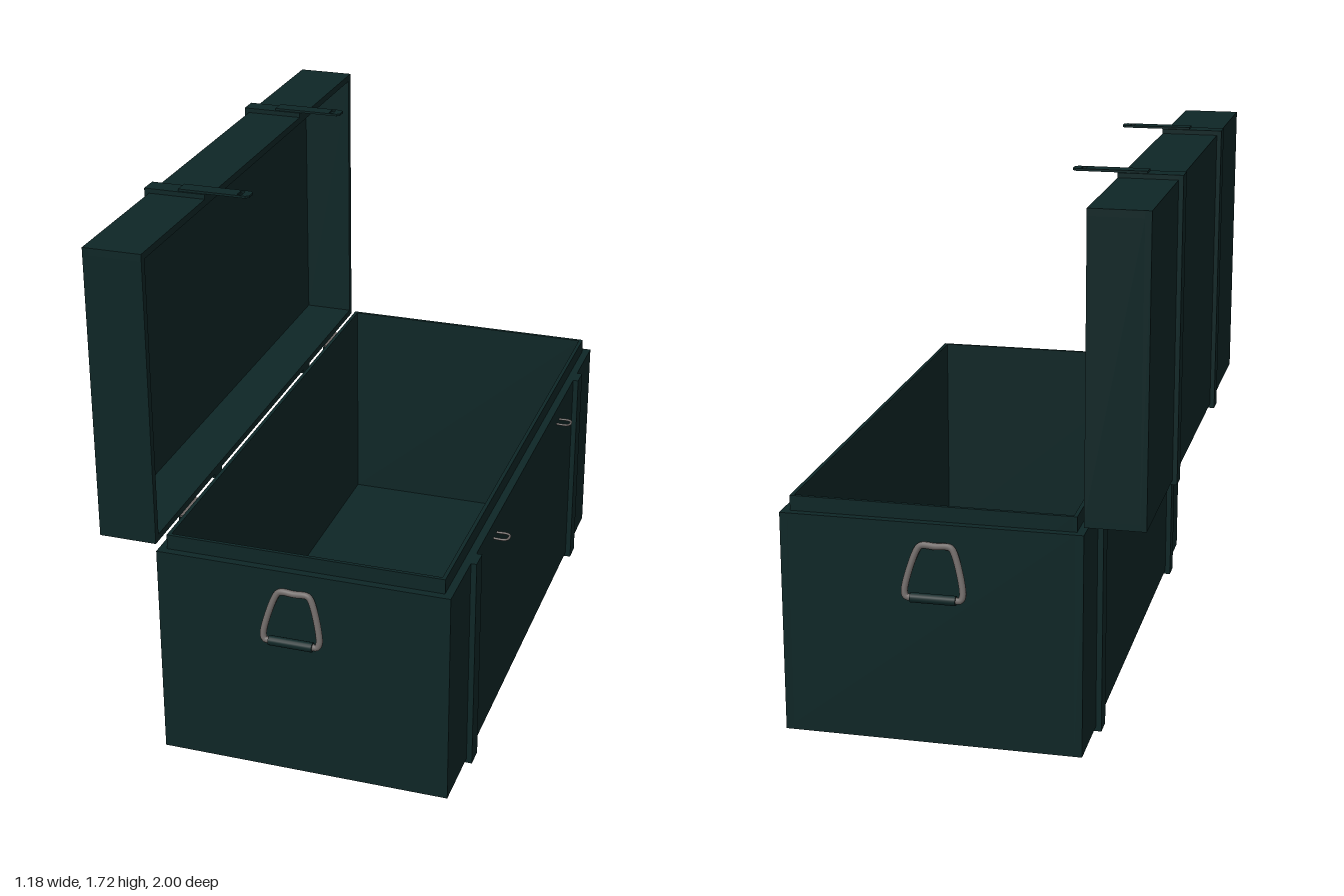
import * as THREE from 'three';

export function createModel() {
  const root = new THREE.Group();
  const green = new THREE.MeshStandardMaterial({ color: 0x0e2626 });
  green.name = 'dark green paint';
  const steel = new THREE.MeshStandardMaterial({ color: 0x6e6866 });
  steel.name = 'bare steel';

  const add = (parent, name, geometry, material) => {
    const mesh = new THREE.Mesh(geometry, material);
    mesh.name = name;
    parent.add(mesh);
    return mesh;
  };
  // Box given by its extents on each axis
  const slab = (parent, name, [x0, x1], [y0, y1], [z0, z1], material = green) => {
    const mesh = add(parent, name, new THREE.BoxGeometry(x1 - x0, y1 - y0, z1 - z0), material);
    mesh.position.set((x0 + x1) / 2, (y0 + y1) / 2, (z0 + z1) / 2);
    return mesh;
  };
  const group = (name) => {
    const g = new THREE.Group();
    g.name = name;
    root.add(g);
    return g;
  };

  // Chest body: floor and four walls, open at the top
  const body = group('body');
  slab(body, 'floor', [-0.395, 0.54], [0.015, 0.035], [-0.945, 0.945]);
  slab(body, 'backWall', [-0.395, -0.37], [0.035, 0.725], [-0.945, 0.945]);
  slab(body, 'frontWall', [0.515, 0.54], [0.035, 0.725], [-0.945, 0.945]);
  for (const s of [-1, 1]) {
    const z = s < 0 ? [-0.945, -0.92] : [0.92, 0.945];
    slab(body, 'endWall', [-0.37, 0.515], [0.035, 0.725], z);
  }

  // Inner liner standing proud of the rim
  const liner = group('liner');
  slab(liner, 'linerBack', [-0.37, -0.358], [0.035, 0.772], [-0.918, 0.918]);
  slab(liner, 'linerFront', [0.503, 0.515], [0.035, 0.772], [-0.918, 0.918]);
  for (const s of [-1, 1]) {
    const z = s < 0 ? [-0.918, -0.906] : [0.906, 0.918];
    slab(liner, 'linerEnd', [-0.358, 0.503], [0.035, 0.772], z);
  }

  // Lid standing upright, open toward the chest
  const lid = group('lid');
  slab(lid, 'lidPanel', [-0.58, -0.56], [0.75, 1.695], [-0.945, 0.945]);
  slab(lid, 'lidLowerWall', [-0.56, -0.395], [0.75, 0.772], [-0.945, 0.945]);
  slab(lid, 'lidUpperWall', [-0.56, -0.395], [1.673, 1.695], [-0.945, 0.945]);
  for (const s of [-1, 1]) {
    const z = s < 0 ? [-0.945, -0.922] : [0.922, 0.945];
    slab(lid, 'lidEndWall', [-0.56, -0.395], [0.772, 1.673], z);
  }

  // Slotted hasp plate, drawn in x and z and laid flat
  const haspShape = new THREE.Shape();
  haspShape.moveTo(-0.485, -0.025).lineTo(-0.265, -0.025).lineTo(-0.255, -0.015)
    .lineTo(-0.255, 0.015).lineTo(-0.265, 0.025).lineTo(-0.485, 0.025).closePath();
  const slot = new THREE.Path();
  slot.moveTo(-0.295, -0.017).lineTo(-0.295, 0.017).lineTo(-0.28, 0.017)
    .lineTo(-0.28, -0.017).closePath();
  haspShape.holes.push(slot);
  const haspGeometry = new THREE.ExtrudeGeometry(haspShape, { depth: 0.007, bevelEnabled: false });
  haspGeometry.rotateX(-Math.PI / 2);

  // Staple: bent wire loop on the front wall
  const stapleCurve = new THREE.CatmullRomCurve3([
    [0.535, -0.02], [0.575, -0.02], [0.584, -0.012], [0.584, 0.012], [0.575, 0.02], [0.535, 0.02],
  ].map(([x, z]) => new THREE.Vector3(x, 0, z)), false, 'centripetal');
  const stapleGeometry = new THREE.TubeGeometry(stapleCurve, 24, 0.004, 8);

  for (const s of [-1, 1]) {
    // Straps around the body
    const bz = [s * 0.692 - 0.032, s * 0.692 + 0.032];
    const strap = group('bodyStrap');
    slab(strap, 'strapFront', [0.54, 0.558], [0, 0.725], bz);
    slab(strap, 'strapBack', [-0.413, -0.395], [0, 0.725], bz);
    slab(strap, 'strapBottom', [-0.395, 0.54], [0, 0.015], bz);

    // Straps around the lid, with hasps
    const lz = [s * 0.43 - 0.031, s * 0.43 + 0.031];
    const lidStrap = group('lidStrap');
    slab(lidStrap, 'lidStrapBack', [-0.595, -0.58], [0.736, 1.71], lz);
    slab(lidStrap, 'lidStrapTop', [-0.58, -0.395], [1.695, 1.71], lz);
    slab(lidStrap, 'lidStrapBottom', [-0.58, -0.395], [0.736, 0.75], lz);
    add(lidStrap, 'hasp', haspGeometry, green).position.set(0, 1.71, s * 0.43);
    add(root, 'staple', stapleGeometry, steel).position.set(0, 0.667, s * 0.43);

    // Hinge with two leaves and a barrel
    const hinge = group('hinge');
    const hz = [s * 0.69 - 0.063, s * 0.69 + 0.063];
    const barrel = add(hinge, 'hingeBarrel', new THREE.CylinderGeometry(0.009, 0.009, 0.126, 16), steel);
    barrel.rotation.x = Math.PI / 2;
    barrel.position.set(-0.382, 0.741, s * 0.69);
    slab(hinge, 'hingeUpperLeaf', [-0.425, -0.384], [0.744, 0.75], hz, steel);
    slab(hinge, 'hingeLowerLeaf', [-0.395, -0.376], [0.725, 0.735], hz, steel);
  }

  // Swing handles: trapezoid wire with a grip on the lower bar
  const wirePoints = [
    [0.045, 0.158], [0.058, 0.142], [0.09, 0.018], [0.084, 0.002], [0.07, 0], [0, 0],
    [-0.07, 0], [-0.084, 0.002], [-0.09, 0.018], [-0.058, 0.142], [-0.045, 0.158], [0, 0.158],
  ].map(([x, y]) => new THREE.Vector3(x, y, 0));
  const wire = new THREE.CatmullRomCurve3(wirePoints, true, 'centripetal');
  const wireGeometry = new THREE.TubeGeometry(wire, 96, 0.0105, 10, true);
  const gripGeometry = new THREE.CylinderGeometry(0.0155, 0.0155, 0.14, 16);
  for (const s of [-1, 1]) {
    const handle = group('handle');
    add(handle, 'handleWire', wireGeometry, steel);
    add(handle, 'handleGrip', gripGeometry, green).rotation.z = Math.PI / 2;
    handle.position.set(0.052, 0.503, s * 0.984);
    handle.rotation.x = -s * 0.2;
  }

  return root;
}
